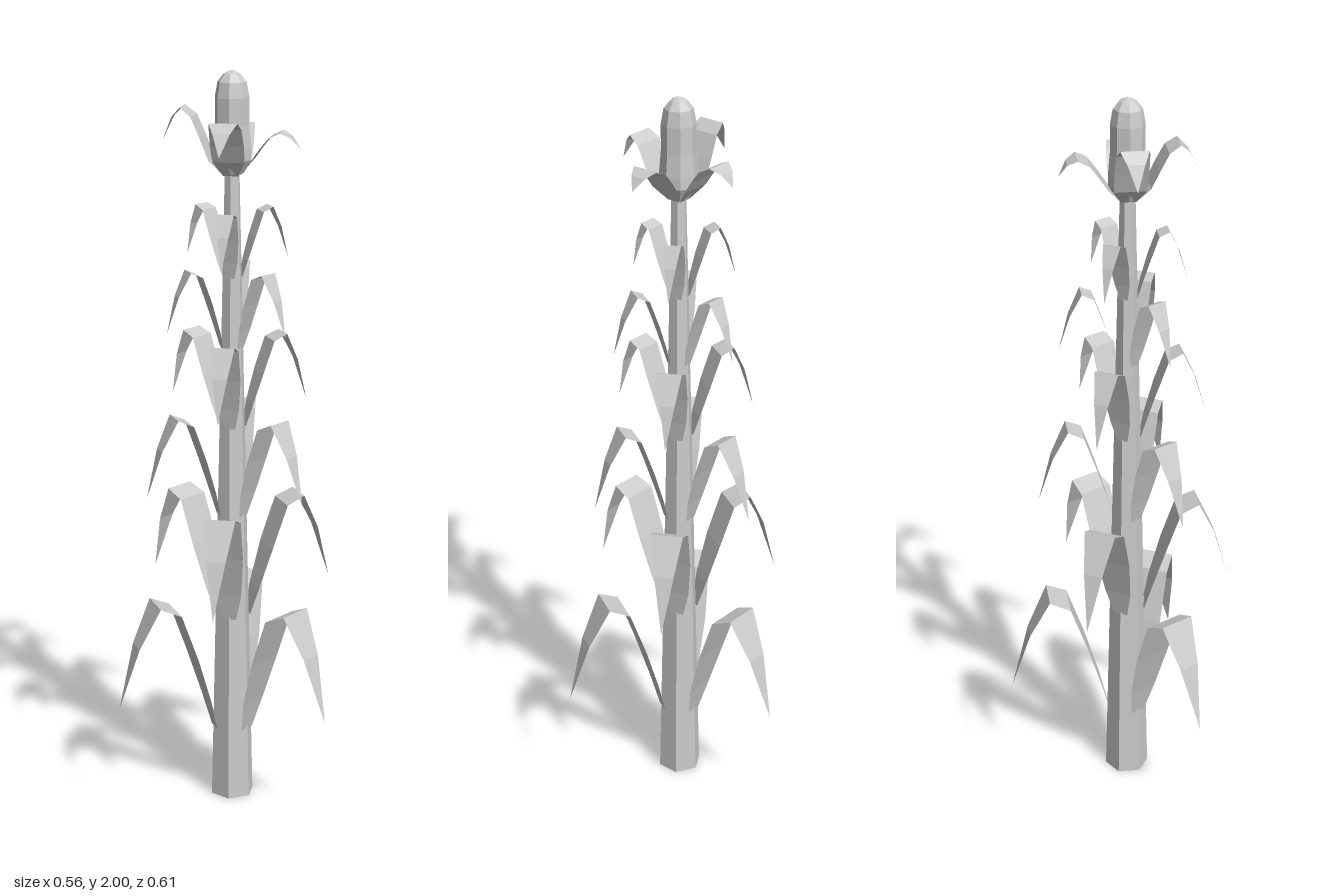
import * as THREE from 'three';

const material = new THREE.MeshStandardMaterial({ color: 0xcccccc, flatShading: true, side: THREE.DoubleSide });

// Flat blade bent along a profile of [distance from stalk, height, half width]
function bladeGeometry(sections) {
  const positions = [];
  const index = [];
  sections.forEach(([r, y, w], i) => {
    positions.push(-w, y, r, w, y, r);
    if (i === 0) return;
    const a = 2 * (i - 1);
    index.push(a, a + 2, a + 1);
    if (w > 0) index.push(a + 1, a + 2, a + 3);
  });
  const geometry = new THREE.BufferGeometry();
  geometry.setAttribute('position', new THREE.Float32BufferAttribute(positions, 3));
  geometry.setIndex(index);
  geometry.computeVertexNormals();
  return geometry;
}

export function createModel() {
  const plant = new THREE.Group();
  plant.name = 'cornPlant';
  plant.position.z = 0.02;

  const add = (name, geometry, angle = 0, y = 0) => {
    const mesh = new THREE.Mesh(geometry, material);
    mesh.name = name;
    mesh.rotation.y = angle;
    mesh.position.y = y;
    plant.add(mesh);
  };

  // Six-sided tapering stalk
  add('stalk', new THREE.CylinderGeometry(0.02, 0.06, 1.75, 6), 0, 0.875);

  // Whorls of three arching leaves, each turned half a step from the last
  const leaf = [
    [0.052, 0, 0.022], [0.075, 0.09, 0.042], [0.115, 0.22, 0.055], [0.163, 0.355, 0.056],
    [0.22, 0.38, 0.05], [0.275, 0.265, 0.03], [0.325, 0.09, 0],
  ];
  const whorls = [[0.58, 1], [0.855, 0.87], [1.095, 0.74], [1.305, 0.65], [1.485, 0.555], [1.645, 0.48]];
  whorls.forEach(([peak, scale], level) => {
    const geometry = bladeGeometry(leaf.map(([r, y, w]) => [r * scale, peak + (y - 0.38) * scale, w * scale]));
    for (let i = 0; i < 3; i++) {
      add('leaf', geometry, (level % 2 ? 0 : Math.PI) + (i * 2 * Math.PI) / 3);
    }
  });

  // Rounded eight-sided cob
  const cob = [
    [0, 1.735], [0.03, 1.735], [0.05, 1.77], [0.05, 1.8], [0.045, 1.86],
    [0.045, 1.93], [0.038, 1.97], [0.022, 1.99], [0, 2],
  ].map(([r, y]) => new THREE.Vector2(r, y));
  add('cob', new THREE.LatheGeometry(cob, 8));

  // Four husk leaves curling out below the cob: [angle, peak height, tip distance, tip height]
  const husks = [
    [0, 1.88, 0.185, 1.8], [Math.PI / 2, 1.845, 0.18, 1.8],
    [Math.PI, 1.85, 0.175, 1.8], [-Math.PI / 2, 1.905, 0.183, 1.815],
  ];
  for (const [angle, peak, tip, tipY] of husks) {
    const rise = peak - 1.77;
    add('huskLeaf', bladeGeometry([
      [0.02, 1.73, 0.02], [0.054, 1.77, 0.042], [0.075, 1.77 + rise * 0.4, 0.044],
      [0.1, 1.77 + rise * 0.82, 0.042], [0.13, peak, 0.037],
      [0.155, peak - (peak - tipY) * 0.3, 0.022], [tip, tipY, 0],
    ]), angle);
  }

  const model = new THREE.Group();
  model.name = 'model';
  model.add(plant);
  return model;
}
